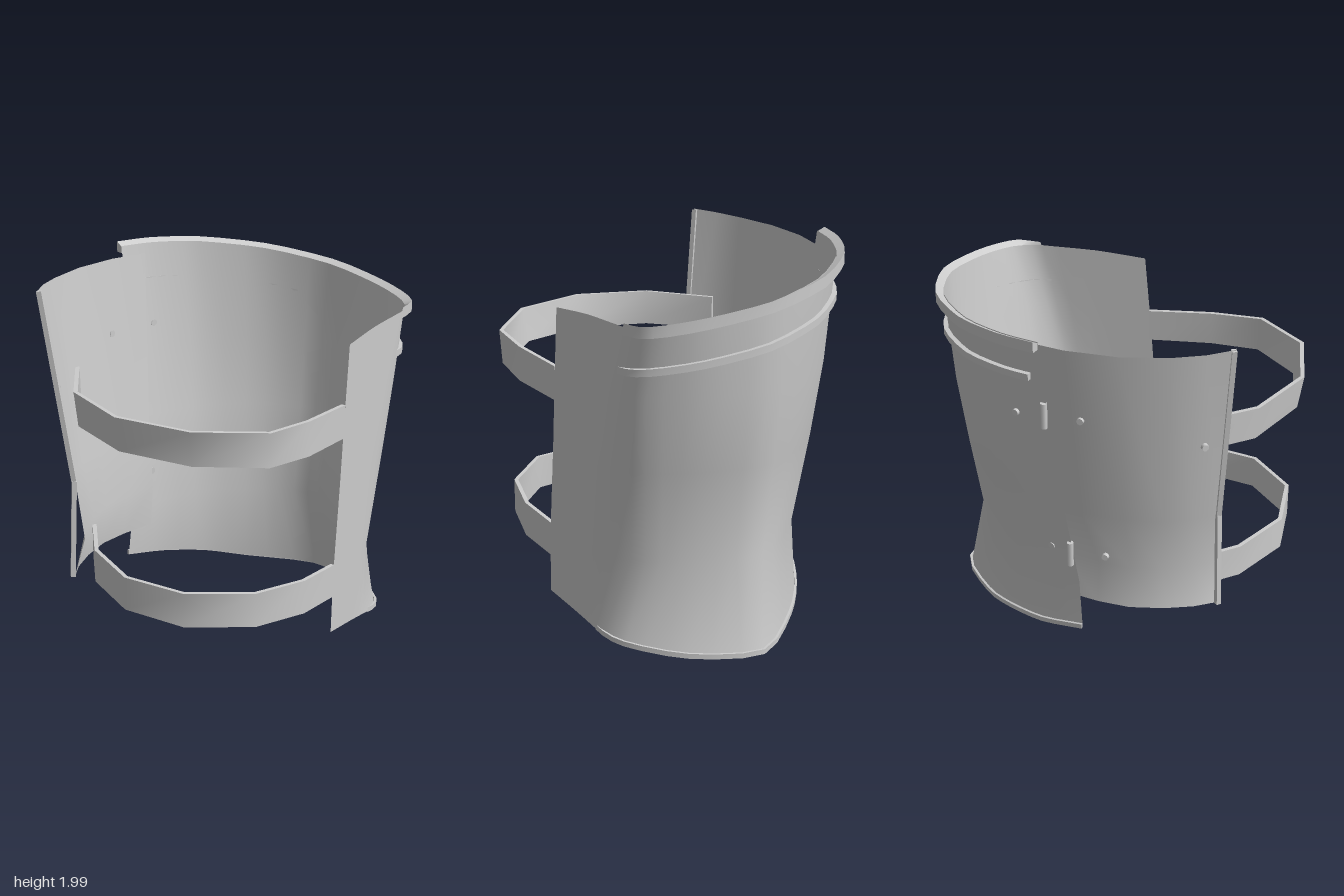
import * as THREE from 'three';
import { toCreasedNormals } from 'three/addons/utils/BufferGeometryUtils.js';

const steel = new THREE.MeshStandardMaterial({ color: 0xcccccc, side: THREE.DoubleSide });
steel.name = 'steel';

const V = (x, y, z) => new THREE.Vector3(x, y, z);

function part(name, geometry, parent) {
  const mesh = new THREE.Mesh(geometry, steel);
  mesh.name = name;
  parent.add(mesh);
  return mesh;
}

function indexed(points, index) {
  const g = new THREE.BufferGeometry().setFromPoints(points);
  g.setIndex(index);
  return g;
}

// Smooth curved sheet through rows of points, listed from bottom to top
function sheet(rows) {
  const n = rows[0].length, index = [];
  for (let r = 0; r < rows.length - 1; r++)
    for (let c = 0; c < n - 1; c++) {
      const a = r * n + c, b = a + 1, d = a + n, e = d + 1;
      index.push(a, d, b, b, d, e);
    }
  const g = indexed(rows.flat(), index);
  g.computeVertexNormals();
  return g;
}

// Band along [x, z, bottom, top] points; it reaches from inner to outer along the
// outward normal, its lower edge may lean inward and its inner top edge may drop
function band(path, inner, outer, { lean = () => 0, drop = 0 } = {}) {
  const corners = [], index = [];
  path.forEach(([x, z, y0, y1], i) => {
    const p = path[Math.max(i - 1, 0)], q = path[Math.min(i + 1, path.length - 1)];
    const len = Math.hypot(q[0] - p[0], q[1] - p[1]);
    const nx = (q[1] - p[1]) / len, nz = -(q[0] - p[0]) / len;
    const at = (y, o) => V(Math.min(x + nx * o, 0.785), y, z + nz * o);
    const l = lean(z);
    corners.push(at(y0, inner - l), at(y0, outer - l), at(y1, outer), at(y1 - drop, inner));
  });
  for (let i = 0; i < path.length - 1; i++)
    for (let k = 0; k < 4; k++) {
      const a = i * 4 + k, b = i * 4 + (k + 1) % 4;
      index.push(a, b, a + 4, b, b + 4, a + 4);
    }
  const e = (path.length - 1) * 4;
  index.push(0, 2, 1, 0, 3, 2, e, e + 1, e + 2, e, e + 2, e + 3);
  return toCreasedNormals(indexed(corners, index), 0.75);
}

// Square bar between two points
function bar(name, a, b, size, parent) {
  const m = part(name, new THREE.BoxGeometry(size, size, a.distanceTo(b)), parent);
  m.position.copy(a).lerp(b, 0.5);
  m.lookAt(b);
}

// Main plate cross-sections [x, z], from the hinge around the back to the far edge
const topXZ = [[-0.735, -0.22], [-0.66, -0.42], [-0.5, -0.65], [-0.2, -0.86], [0.17, -0.94],
  [0.5, -0.87], [0.71, -0.76], [0.785, -0.61], [0.785, -0.3], [0.785, -0.02]];
const midXZ = [[-0.67, -0.18], [-0.6, -0.4], [-0.45, -0.63], [-0.17, -0.83], [0.15, -0.915],
  [0.47, -0.83], [0.7, -0.68], [0.785, -0.53], [0.785, -0.26], [0.785, 0.01]];
const waistXZ = [[-0.59, -0.07], [-0.5, -0.3], [-0.355, -0.51], [-0.11, -0.71], [0.14, -0.8],
  [0.4, -0.69], [0.62, -0.55], [0.75, -0.36], [0.785, -0.2], [0.785, 0.09]];
const bottomXZ = [[-0.61, -0.05], [-0.53, -0.29], [-0.385, -0.51], [-0.2, -0.69], [0.14, -0.9],
  [0.5, -0.76], [0.73, -0.52], [0.785, -0.33], [0.785, -0.15], [0.785, 0.1]];
const bottomY = [0.22, 0.17, 0.12, 0.06, 0.01, 0.03, 0.07, 0.105, 0.135, 0.17];
const topY = (x, z) => 1.98 - 0.15 * (x + 0.73) - (z > -0.15 && x > 0 ? 0.02 : 0);
const ridgeY = (x) => 1.655 - 0.16 * x;
const STEPS = 3;

// Subdivide a cross-section along a smooth curve, kept flat on the cut side
function smooth(points) {
  const curve = new THREE.CatmullRomCurve3(points, false, 'catmullrom', 0.4);
  return curve.getPoints((points.length - 1) * STEPS).map((p) => V(Math.min(p.x, 0.785), p.y, p.z));
}

function mainPlate() {
  const g = new THREE.Group();
  g.name = 'mainPlate';
  const level = (row, y) => smooth(row.map(([x, z]) => V(x, y, z)));
  const top = smooth(topXZ.map(([x, z]) => V(x, topY(x, z), z)));
  const mid = level(midXZ, 1.4);
  const waist = level(waistXZ, 0.5);
  const bottom = smooth(bottomXZ.map(([x, z], i) => V(x, bottomY[i], z)));
  const chest = waist.map((p, i) => p.clone().lerp(mid[i], 0.6).setY(1.0));
  part('plateShell', sheet([bottom, waist, chest, mid, top]), g);

  // Bevelled rim on the curved part of the top
  const curved = 7 * STEPS + 1;
  const rim = top.slice(0, curved).map((p) => [p.x, p.z, p.y - 0.04, p.y + 0.018]);
  part('topRim', band(rim, 0.002, 0.042, { drop: 0.022 }), g);

  // Raised ridge below the rim, starting short of the hinge
  const ridge = top.slice(0, curved).map((p, i) => {
    const y = ridgeY(p.x);
    const s = mid[i].clone().lerp(p, (y - 1.4) / (p.y - 1.4));
    return [s.x, s.z, y - 0.018, y + 0.018];
  });
  part('ridge', band(ridge.slice(1), 0.002, 0.027), g);

  // Thin lip along the bottom
  const lip = bottom.slice(0, curved).map((p) => [p.x, p.z, p.y - 0.005, p.y + 0.022]);
  part('bottomLip', band(lip, 0.001, 0.014), g);
  return g;
}

function sidePlate() {
  const g = new THREE.Group();
  g.name = 'sidePlate';
  const row = (y0, y1, pts) => pts.map(([x, z], i) => V(x, y0 + (y1 - y0) * i / 5, z));
  part('sideShell', sheet([
    row(0.38, 0.4, [[-0.535, -0.17], [-0.585, 0.03], [-0.605, 0.2], [-0.58, 0.38], [-0.535, 0.53], [-0.474, 0.648]]),
    row(0.62, 0.62, [[-0.525, -0.18], [-0.56, 0.03], [-0.575, 0.2], [-0.545, 0.36], [-0.49, 0.52], [-0.425, 0.615]]),
    row(0.95, 0.95, [[-0.57, -0.22], [-0.61, -0.05], [-0.63, 0.18], [-0.6, 0.38], [-0.54, 0.53], [-0.465, 0.63]]),
    row(1.93, 1.98, [[-0.65, -0.32], [-0.715, -0.1], [-0.74, 0.17], [-0.71, 0.42], [-0.665, 0.58], [-0.6, 0.71]]),
  ]), g);
  // Stiffening bar down the free edge
  const edge = [V(-0.6, 1.975, 0.7), V(-0.468, 0.95, 0.635), V(-0.485, 0.4, 0.65)];
  bar('upperEdgeBar', edge[0], edge[1], 0.026, g);
  bar('lowerEdgeBar', edge[1], edge[2], 0.026, g);
  return g;
}

function straps() {
  const g = new THREE.Group();
  g.name = 'straps';
  part('upperStrap', band([
    [0.785, 0.01, 1.24, 1.42], [0.78, 0.37, 1.262, 1.447], [0.73, 0.66, 1.285, 1.47],
    [0.44, 0.92, 1.315, 1.5], [0.04, 0.975, 1.33, 1.515], [-0.33, 0.8, 1.335, 1.52],
    [-0.56, 0.47, 1.335, 1.515]], -0.022, 0, { lean: (z) => Math.max(0, z - 0.4) * 0.05 }), g);
  part('lowerStrap', band([
    [0.785, 0.08, 0.372, 0.555], [0.77, 0.37, 0.395, 0.58], [0.66, 0.67, 0.42, 0.605],
    [0.38, 0.895, 0.44, 0.625], [0.03, 0.905, 0.45, 0.63], [-0.28, 0.73, 0.455, 0.635],
    [-0.48, 0.47, 0.455, 0.635]], -0.022, 0), g);
  return g;
}

function fittings() {
  const g = new THREE.Group();
  g.name = 'fittings';
  // Hinge pins joining the two plates
  for (const [x, y, z] of [[-0.695, 1.555, -0.21], [-0.615, 0.69, -0.11]])
    part('hingePin', new THREE.CylinderGeometry(0.018, 0.018, 0.14, 8), g).position.set(x, y, z);
  // Rivets [x, y, z, outward x, outward z]
  const rivets = [[-0.635, 1.52, -0.37, -0.95, -0.3], [-0.56, 0.69, -0.22, -0.92, -0.38],
    [-0.683, 1.54, -0.03, -0.99, -0.1], [-0.59, 0.68, 0.07, -0.99, -0.06], [-0.595, 1.42, 0.575, -0.85, 0.5]];
  for (const [x, y, z, nx, nz] of rivets) {
    const r = part('rivet', new THREE.CylinderGeometry(0.018, 0.02, 0.02, 8), g);
    r.position.set(x, y, z);
    r.quaternion.setFromUnitVectors(V(0, 1, 0), V(nx, 0, nz).normalize());
  }
  return g;
}

export function createModel() {
  const model = new THREE.Group();
  model.name = 'hingedArmourGuard';
  model.add(mainPlate(), sidePlate(), straps(), fittings());
  return model;
}
